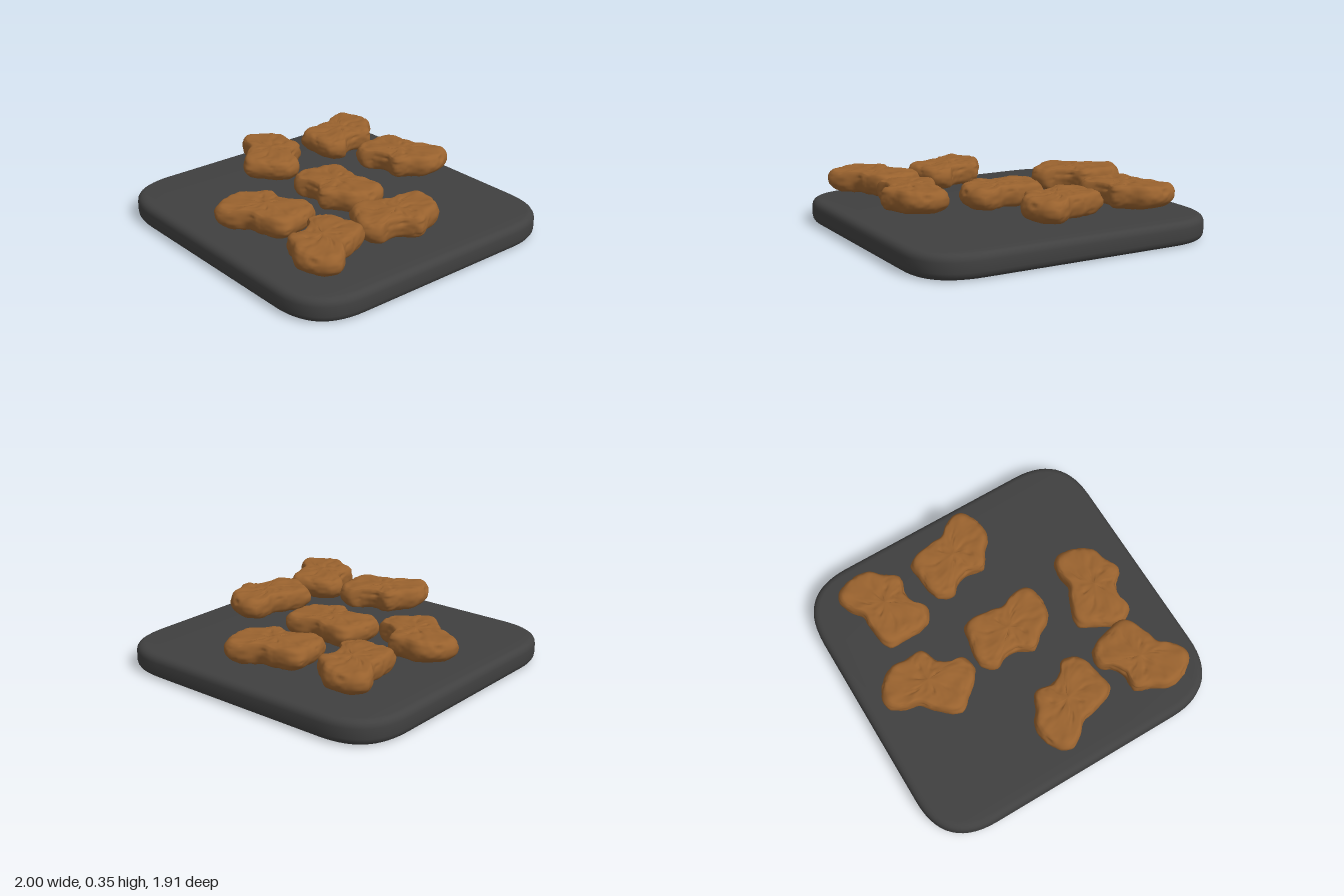
import * as THREE from 'three';
import { mergeVertices, toCreasedNormals } from 'three/addons/utils/BufferGeometryUtils.js';

// Smooth seeded value noise in 3D, roughly -1..1
function hash(x, y, z) {
  let h = Math.imul(x, 374761393) ^ Math.imul(y, 668265263) ^ Math.imul(z, 1274126177);
  h = Math.imul(h ^ (h >>> 13), 1274126177);
  return ((h ^ (h >>> 16)) >>> 0) / 2147483648 - 1;
}
function noise(x, y, z) {
  const [i, j, k] = [x, y, z].map(Math.floor);
  const [u, v, w] = [x - i, y - j, z - k].map(t => t * t * (3 - 2 * t));
  const lerp = THREE.MathUtils.lerp;
  const row = (b, c) => lerp(hash(i, b, c), hash(i + 1, b, c), u);
  return lerp(lerp(row(j, k), row(j + 1, k), v), lerp(row(j, k + 1), row(j + 1, k + 1), v), w);
}

// Tray: square with soft corners and rounded rims
function trayGeometry() {
  const X = 1, Z = 0.955, r = 0.36, bevel = 0.045;
  const s = new THREE.Shape();
  s.moveTo(-X + r, -Z);
  s.lineTo(X - r, -Z);
  s.quadraticCurveTo(X, -Z, X, -Z + r);
  s.lineTo(X, Z - r);
  s.quadraticCurveTo(X, Z, X - r, Z);
  s.lineTo(-X + r, Z);
  s.quadraticCurveTo(-X, Z, -X, Z - r);
  s.lineTo(-X, -Z + r);
  s.quadraticCurveTo(-X, -Z, -X + r, -Z);
  const g = new THREE.ExtrudeGeometry(s, {
    depth: 0.15 - 2 * bevel, bevelThickness: bevel, bevelSize: bevel,
    bevelOffset: -bevel, bevelSegments: 4, curveSegments: 14,
  });
  g.rotateX(-Math.PI / 2).translate(0, bevel, 0);
  return toCreasedNormals(g, 0.6);
}

// Nugget: lumpy outline swept through a pillow-shaped profile
function nuggetGeometry() {
  const outline = new THREE.CatmullRomCurve3([
    [-0.22, -0.165], [-0.06, -0.175], [0.05, -0.15], [0.13, -0.19], [0.22, -0.195],
    [0.27, -0.15], [0.285, -0.03], [0.245, 0.07], [0.16, 0.125], [0.075, 0.195],
    [-0.03, 0.14], [-0.12, 0.145], [-0.19, 0.18], [-0.265, 0.125], [-0.28, 0.04], [-0.25, -0.065],
  ].map(([x, z]) => new THREE.Vector3(x, 0, z)), true);
  // x = outline scale, y = height
  const profile = new THREE.SplineCurve([
    [0, 0.003], [0.4, 0.002], [0.72, 0.004], [0.87, 0.018], [0.96, 0.045], [0.99, 0.075],
    [0.975, 0.105], [0.92, 0.13], [0.8, 0.143], [0.4, 0.145], [0, 0.145],
  ].map(([s, y]) => new THREE.Vector2(s, y)));
  const around = 96, rings = 48, pos = [], index = [];
  const rim = outline.getSpacedPoints(around);
  for (let j = 0; j <= rings; j++) {
    const p = profile.getPoint(j / rings);
    const s = j === 0 || j === rings ? 0 : p.x;
    for (let i = 0; i < around; i++) {
      const x = rim[i].x * s, y = p.y, z = rim[i].z * s;
      // broad lumps, fine crumbs and small pits
      const pit = Math.max(0, noise(x * 28 + 9, y * 28, z * 28) - 0.5);
      const d = 0.007 * noise(x * 14, y * 14, z * 14)
        + 0.005 * noise(x * 38, y * 38 + 5, z * 38) - 0.025 * pit;
      const side = s ** 6;
      const len = Math.hypot(rim[i].x, rim[i].z);
      const up = (y / 0.0725 - 1) * (1 - 0.6 * side);
      pos.push(x + rim[i].x / len * d * side, y + up * d, z + rim[i].z / len * d * side);
      if (j < rings) {
        const a = j * around + i, b = j * around + (i + 1) % around;
        index.push(a, a + around, b, b, a + around, b + around);
      }
    }
  }
  let g = new THREE.BufferGeometry();
  g.setAttribute('position', new THREE.Float32BufferAttribute(pos, 3));
  g.setIndex(index);
  g = mergeVertices(g, 1e-5);
  g.computeVertexNormals();
  return g;
}

export function createModel() {
  const group = new THREE.Group();
  const slate = new THREE.MeshStandardMaterial({ name: 'charcoal grey', color: 0x404040 });
  const brown = new THREE.MeshStandardMaterial({ name: 'fried brown', color: 0x99622e });

  const tray = new THREE.Mesh(trayGeometry(), slate);
  tray.name = 'tray';
  group.add(tray);

  // Each nugget: centre x, centre z, middle height, turn in degrees
  const base = nuggetGeometry();
  [
    [0.03, -0.01, 0.23, 0],
    [-0.03, -0.61, 0.268, -17],
    [-0.57, -0.535, 0.268, -103],
    [-0.585, 0.075, 0.268, 217],
    [0.61, 0.03, 0.268, -74],
    [0.09, 0.595, 0.268, 157],
    [0.62, 0.565, 0.268, 62],
  ].forEach(([x, z, y, turn], i) => {
    const g = base.clone().rotateY(-THREE.MathUtils.degToRad(turn)).center();
    const nugget = new THREE.Mesh(g, brown);
    nugget.name = 'nugget' + (i + 1);
    nugget.position.set(x, y, z);
    group.add(nugget);
  });
  return group;
}
